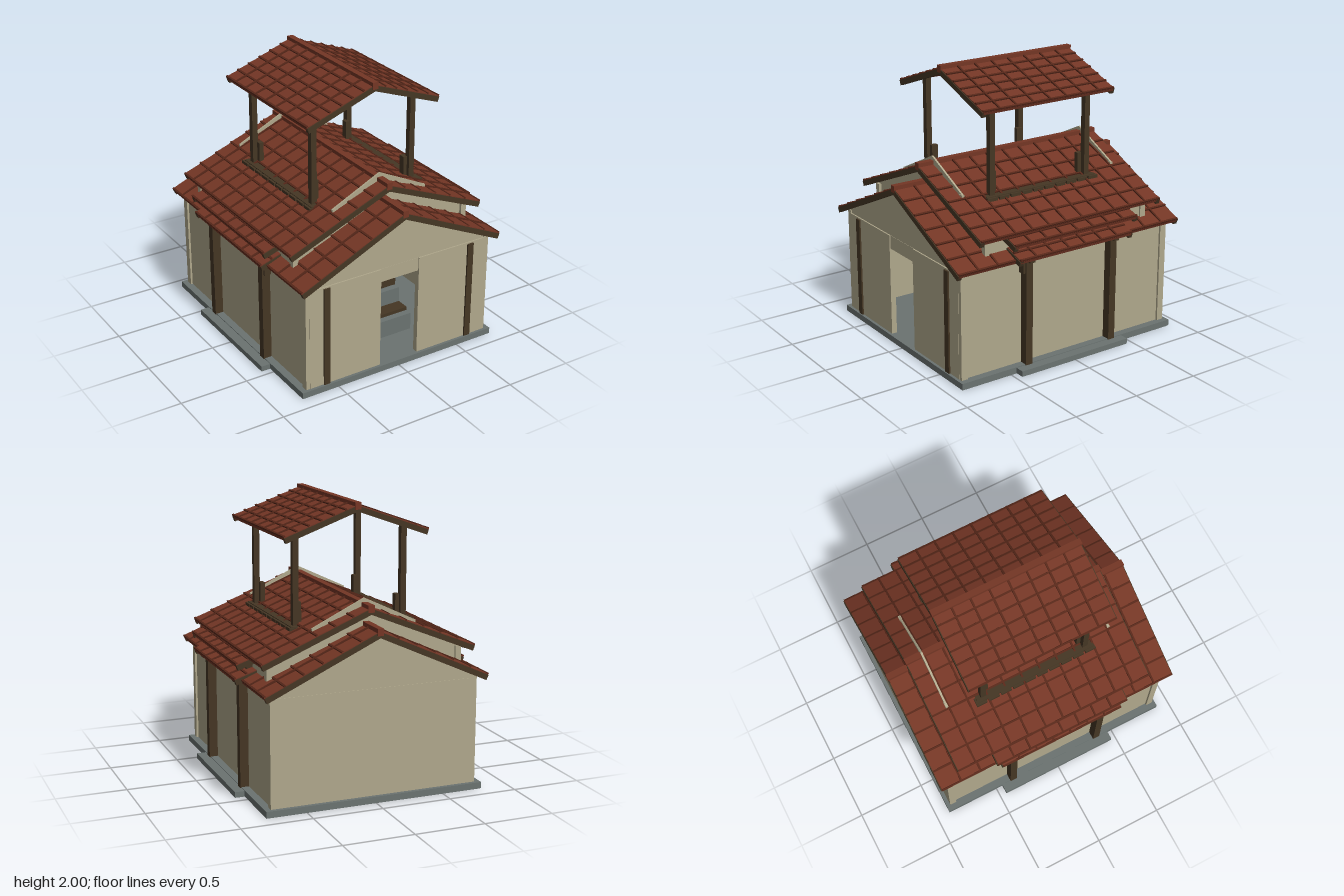
import * as THREE from 'three';

const mat = (name, color) => {
  const m = new THREE.MeshStandardMaterial({ color });
  m.name = name;
  return m;
};

export function createModel() {
  const plaster = mat('plaster', 0xb0a88c);
  const timber = mat('timber', 0x453624);
  const tile = mat('tile', 0x743625);
  const tileDark = mat('darkTile', 0x562719);
  const stone = mat('stone', 0x6b7371);

  const model = new THREE.Group();
  model.name = 'tiledHouse';

  // Box given by its min and max corners
  const box = (name, m, x0, x1, y0, y1, z0, z1, parent = model) => {
    const mesh = new THREE.Mesh(new THREE.BoxGeometry(x1 - x0, y1 - y0, z1 - z0), m);
    mesh.position.set((x0 + x1) / 2, (y0 + y1) / 2, (z0 + z1) / 2);
    mesh.name = name;
    parent.add(mesh);
    return mesh;
  };
  // The same box on both sides of x = 0
  const pair = (name, m, x0, x1, y0, y1, z0, z1) => {
    box(name, m, x0, x1, y0, y1, z0, z1);
    box(name, m, -x1, -x0, y0, y1, z0, z1);
  };
  // Extruded outline standing in the xy plane
  const slab = (name, m, pts, z0, z1) => {
    const shape = new THREE.Shape(pts.map(p => new THREE.Vector2(...p)));
    const mesh = new THREE.Mesh(
      new THREE.ExtrudeGeometry(shape, { depth: z1 - z0, bevelEnabled: false }), m);
    mesh.position.z = z0;
    mesh.name = name;
    model.add(mesh);
    return mesh;
  };

  // Tiled slopes on both sides, from (x0, y0) at the top to (x1, y1) at the eave
  const roof = (name, { x0, y0, x1, y1, z0, z1, rows, cols }) => {
    const len = Math.hypot(x1 - x0, y1 - y0);
    const half = (z1 - z0) / 2;
    const rowLen = len / rows;
    for (const turn of [0, Math.PI]) {
      const side = new THREE.Group();
      side.name = name;
      side.position.set(0, y0, (z0 + z1) / 2);
      side.rotation.y = turn;
      const slope = new THREE.Group();
      slope.position.x = x0;
      slope.rotation.z = Math.atan2(y1 - y0, x1 - x0);
      side.add(slope);
      box('roofBoard', tile, 0, len, -0.016, 0, -half + 0.01, half - 0.01, slope);
      for (let i = 0; i < rows; i++) {
        // Each course lifts a little at its lower edge
        const row = box('tileCourse', tile, i * rowLen, (i + 1) * rowLen,
          0, 0.008, -half + 0.005, half - 0.005, slope);
        row.rotation.z = 0.05;
        box('courseEdge', tileDark, (i + 1) * rowLen - 0.014, (i + 1) * rowLen,
          0, 0.0155, -half + 0.005, half - 0.005, slope);
      }
      for (let j = 1; j < cols; j++) {
        const z = -half + (2 * half * j) / cols;
        box('tileRib', tileDark, 0, len, 0, 0.017, z - 0.007, z + 0.007, slope);
      }
      for (const s of [-1, 1]) {
        const z = s * (half - 0.015);
        box('bargeboard', timber, 0, len, -0.036, 0.002, z - 0.016, z + 0.016, slope);
      }
      model.add(side);
    }
    if (x0 === 0) box('ridgeCap', tile, -0.022, 0.022, y0 - 0.025, y0 + 0.025, z0 - 0.002, z1 + 0.002);
  };

  // Stone plinth with a wider middle
  box('plinth', stone, -0.79, 0.79, 0.005, 0.05, -0.9, 0.9);
  box('plinthWide', stone, -0.858, 0.858, 0.005, 0.045, -0.45, 0.46);
  box('plinthFoot', stone, -0.785, 0.785, 0, 0.01, -0.89, 0.89);

  // Outer walls and corner posts
  pair('sideWall', plaster, 0.70, 0.735, 0.05, 0.84, -0.84, 0.84);
  box('backWall', plaster, -0.72, 0.72, 0.05, 0.8, -0.872, -0.84);
  pair('frontWall', plaster, 0.155, 0.72, 0.05, 0.8, 0.84, 0.88);
  box('doorLintel', plaster, -0.155, 0.155, 0.7, 0.8, 0.835, 0.872);
  for (const z of [-0.872, 0.828]) pair('cornerPost', plaster, 0.71, 0.75, 0.05, 0.82, z, z + 0.05);
  const gable = [[-0.75, 0.795], [0.75, 0.795], [0.75, 0.825], [0, 1.175], [-0.75, 0.825]];
  slab('frontGable', plaster, gable, 0.835, 0.87);
  slab('backGable', plaster, gable, -0.868, -0.835);

  // Timber posts
  pair('frontPost', timber, 0.565, 0.613, 0.05, 0.79, 0.87, 0.892);
  for (const z of [0.36, -0.355]) {
    pair('sidePost', timber, 0.73, 0.797, 0.045, 0.83, z - 0.027, z + 0.027);
    pair('upperBracket', timber, 0.69, 0.742, 0.86, 0.96, z - 0.027, z + 0.027);
    pair('canopyBeam', timber, 0.72, 0.83, 0.80, 0.83, z - 0.02, z + 0.02);
  }
  pair('postBracket', timber, 0.735, 0.785, 0.715, 0.79, 0.385, 0.405);

  // Raised upper storey
  slab('upperWall', plaster,
    [[-0.70, 0.8], [0.70, 0.8], [0.70, 1.01], [0, 1.30], [-0.70, 1.01]], -0.69, 0.64);
  for (const z of [-0.705, 0.615]) pair('upperCorner', plaster, 0.67, 0.712, 0.82, 0.99, z, z + 0.045);

  // Main roofs, side canopies and the raised cover
  roof('lowerRoof', { x0: 0, y0: 1.195, x1: 0.805, y1: 0.825, z0: -0.935, z1: 0.93, rows: 6, cols: 12 });
  roof('upperRoof', { x0: 0, y0: 1.32, x1: 0.775, y1: 1.0, z0: -0.785, z1: 0.735, rows: 6, cols: 11 });
  roof('upperCanopy', { x0: 0.69, y0: 1.005, x1: 0.855, y1: 0.95, z0: -0.515, z1: 0.52, rows: 2, cols: 8 });
  roof('lowerCanopy', { x0: 0.69, y0: 0.893, x1: 0.855, y1: 0.838, z0: -0.475, z1: 0.48, rows: 2, cols: 7 });
  roof('coverRoof', { x0: 0, y0: 1.975, x1: 0.525, y1: 1.785, z0: -0.55, z1: 0.547, rows: 6, cols: 8 });

  // Thin plaster fins standing through the upper roof
  for (const z of [0.61, -0.66]) {
    slab('roofFin', plaster,
      [[-0.375, 1.15], [0, 1.3], [0.375, 1.15], [0.375, 1.195], [0, 1.375], [-0.375, 1.195]],
      z - 0.007, z + 0.007);
    pair('finEnd', plaster, 0.335, 0.378, 1.16, 1.195, z - 0.01, z + 0.01);
  }

  // Posts that carry the cover, with feet and sill beams
  for (const s of [-1, 1]) {
    pair('coverPost', timber, 0.378, 0.42, 1.14, 1.825, s * 0.4 - 0.021, s * 0.4 + 0.021);
    pair('postFoot', timber, 0.35, 0.385, 1.14, 1.32, s * 0.372 - 0.024, s * 0.372 + 0.024);
  }
  pair('sillBeam', timber, 0.39, 0.445, 1.12, 1.165, -0.455, 0.46);
  for (let i = 0; i < 10; i++) {
    const z = -0.43 + i * 0.095;
    pair('sillBlock', timber, 0.40, 0.462, 1.125, 1.16, z - 0.04, z + 0.04);
  }

  // Stepped stone interior seen through the doorway
  box('lowerStep', stone, -0.3, 0.3, 0.05, 0.18, -0.4, 0.6);
  box('stepTrim', timber, -0.3, 0.3, 0.18, 0.205, -0.4, 0.55);
  box('upperStep', stone, -0.3, 0.3, 0.205, 0.32, -0.4, 0.45);
  box('benchRail', timber, -0.3, 0.3, 0.32, 0.372, -0.4, 0.4);
  for (let i = -1; i <= 1; i++) {
    box('hearthStone', stone, i * 0.085 - 0.04, i * 0.085 + 0.04, 0.372, 0.42, 0.2, 0.35);
  }
  box('hearthSlab', stone, -0.125, 0.125, 0.44, 0.475, 0.1, 0.33);
  pair('rackPost', timber, 0.125, 0.15, 0.372, 0.75, 0.28, 0.31);
  for (const y of [0.42, 0.48, 0.54, 0.62, 0.69]) {
    box('rackShelf', timber, -0.15, 0.15, y, y + 0.014, 0.1, 0.3);
  }
  for (let i = -3; i <= 3; i++) {
    box('rackSlat', timber, i * 0.045 - 0.014, i * 0.045 + 0.014, 0.372, 0.75, 0.05, 0.07);
  }

  return model;
}
